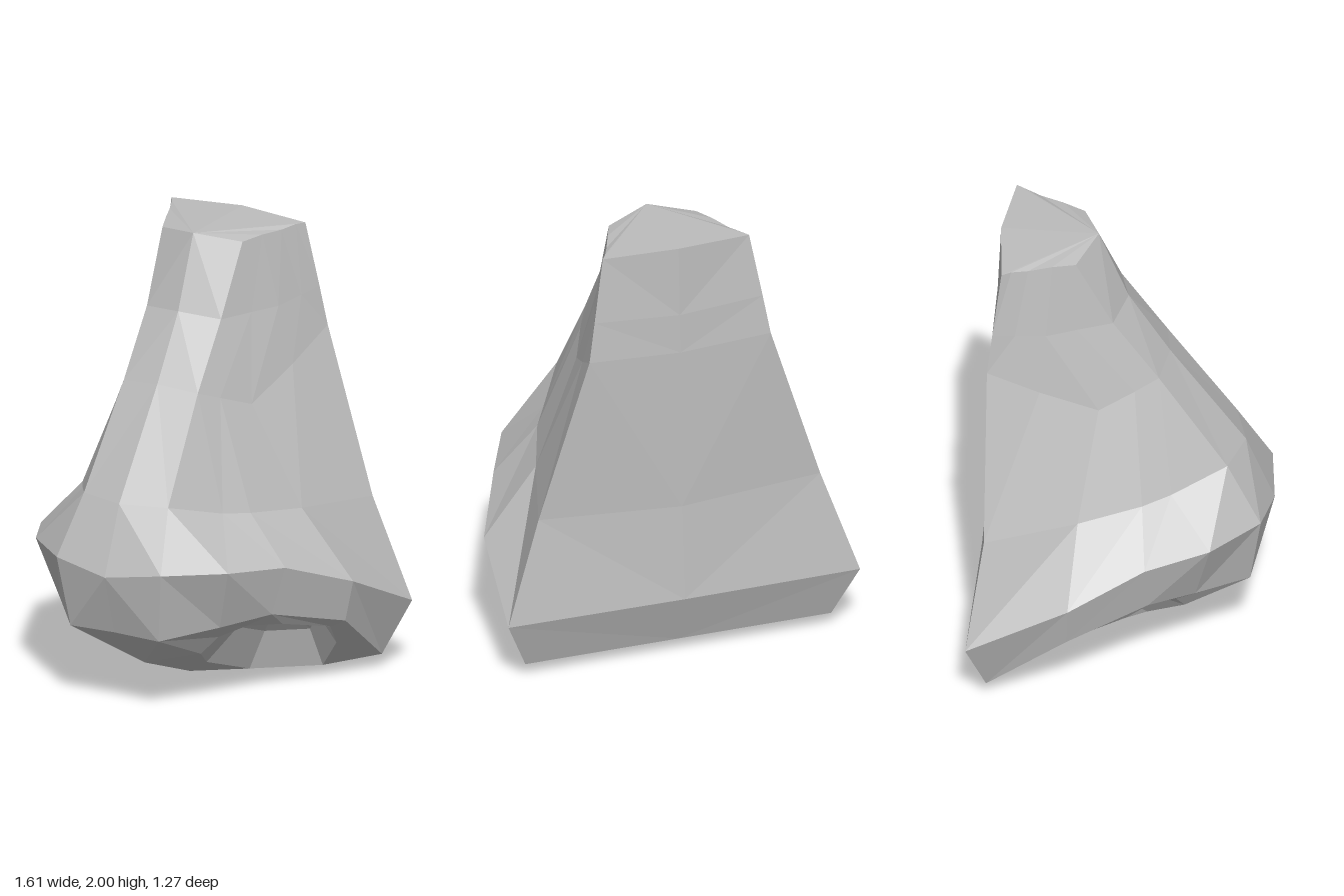
import * as THREE from 'three';

export function createModel() {
  const group = new THREE.Group();
  group.name = 'nose';
  const skin = new THREE.MeshStandardMaterial({ color: 0xbcbcbc });
  skin.name = 'plain grey';

  // Faceted mesh builder: every triangle is added together with its mirror image.
  const builder = () => {
    const pos = [];
    const tri = (a, b, c) => {
      for (const p of [a, b, c]) pos.push(...p);
      for (const p of [c, b, a]) pos.push(-p[0], p[1], p[2]);
    };
    const band = (upper, lower, closed = false) => {
      const n = upper.length;
      for (let j = 0; j < (closed ? n : n - 1); j++) {
        const k = (j + 1) % n;
        tri(upper[j], lower[j], lower[k]);
        if (upper[j] !== upper[k]) tri(upper[j], lower[k], upper[k]);
      }
    };
    const finish = (name) => {
      const g = new THREE.BufferGeometry();
      g.setAttribute('position', new THREE.Float32BufferAttribute(pos, 3));
      g.computeVertexNormals();
      const mesh = new THREE.Mesh(g, skin);
      mesh.name = name;
      group.add(mesh);
    };
    return { tri, band, finish };
  };

  // Half cross-sections, from the front centre round the side to the back centre.
  const top = [[0, 2, -.13], [.2, 1.97, -.21], [.24, 1.98, -.31], [.28, 1.98, -.41], [.31, 1.99, -.48], [.335, 1.99, -.52], [0, 2, -.555]];
  const upperBridge = [[.0, 1.68, 0], [.185, 1.66, -.05], [.25, 1.66, -.2], [.31, 1.66, -.33], [.35, 1.68, -.46], [.385, 1.7, -.555], [0, 1.68, -.57]];
  const midBridge = [[0, 1.4, .18], [.185, 1.38, .15], [.24, 1.34, .05], [.31, 1.28, -.1], [.37, 1.4, -.35], [.415, 1.52, -.575], [0, 1.5, -.58]];
  const lowBridge = [[0, .95, .51], [.21, .95, .45], [.35, .88, .22], [.42, .86, .1], [.52, .82, -.17], [.645, .78, -.565], [0, .75, -.6]];
  const crease = [[0, .65, .635], [.26, .69, .6], [.48, .68, .4], [.61, .65, .13], [.765, .52, -.19], [.805, .31, -.63], [0, .31, -.638]];
  const base = [[0, .375, .55], [.22, .37, .55], [.4, .4, .33], [.55, .43, .14], [.72, .33, -.2], [.7, .07, -.55], [0, .07, -.55]];

  // Bridge and tip
  const bridge = builder();
  for (let j = 1; j < 6; j++) bridge.tri(top[0], top[j], top[j + 1]);
  const bridgeRings = [top, upperBridge, midBridge, lowBridge, crease];
  for (let i = 0; i < 4; i++) bridge.band(bridgeRings[i], bridgeRings[i + 1]);
  bridge.finish('bridge');

  // Wings around the nostrils
  const wings = builder();
  wings.band(crease, base);
  wings.finish('wings');

  // Underside with the columella, opening into the nostril rims
  const columella = [[0, .16, .29], [0, .005, -.1], [0, .02, -.42]];
  const rim = [[.27, .24, .27], [.34, .32, .24], [.43, .36, .15], [.55, .36, .05], [.645, .29, -.2],
    [.6, .17, -.33], [.48, .02, -.42], [.23, .02, -.22], [.2, .14, .1]];
  const outer = [base[1], base[2], base[3], base[3], base[4], base[5], columella[2], columella[1], columella[0]];
  const underside = builder();
  underside.band(outer, rim, true);
  underside.tri(base[0], columella[0], base[1]);
  underside.tri(base[5], columella[2], base[6]);
  underside.finish('underside');

  // Nostril hollows
  const centre = [.43, .22, -.03], lift = [0, .11, -.07];
  const deep = rim.map(p => p.map((v, i) => centre[i] + (v - centre[i]) * .62 + lift[i]));
  const roof = centre.map((v, i) => v + lift[i] * 1.5);
  const nostrils = builder();
  nostrils.band(rim, deep, true);
  deep.forEach((p, j) => nostrils.tri(p, roof, deep[(j + 1) % deep.length]));
  nostrils.finish('nostrils');

  return group;
}
